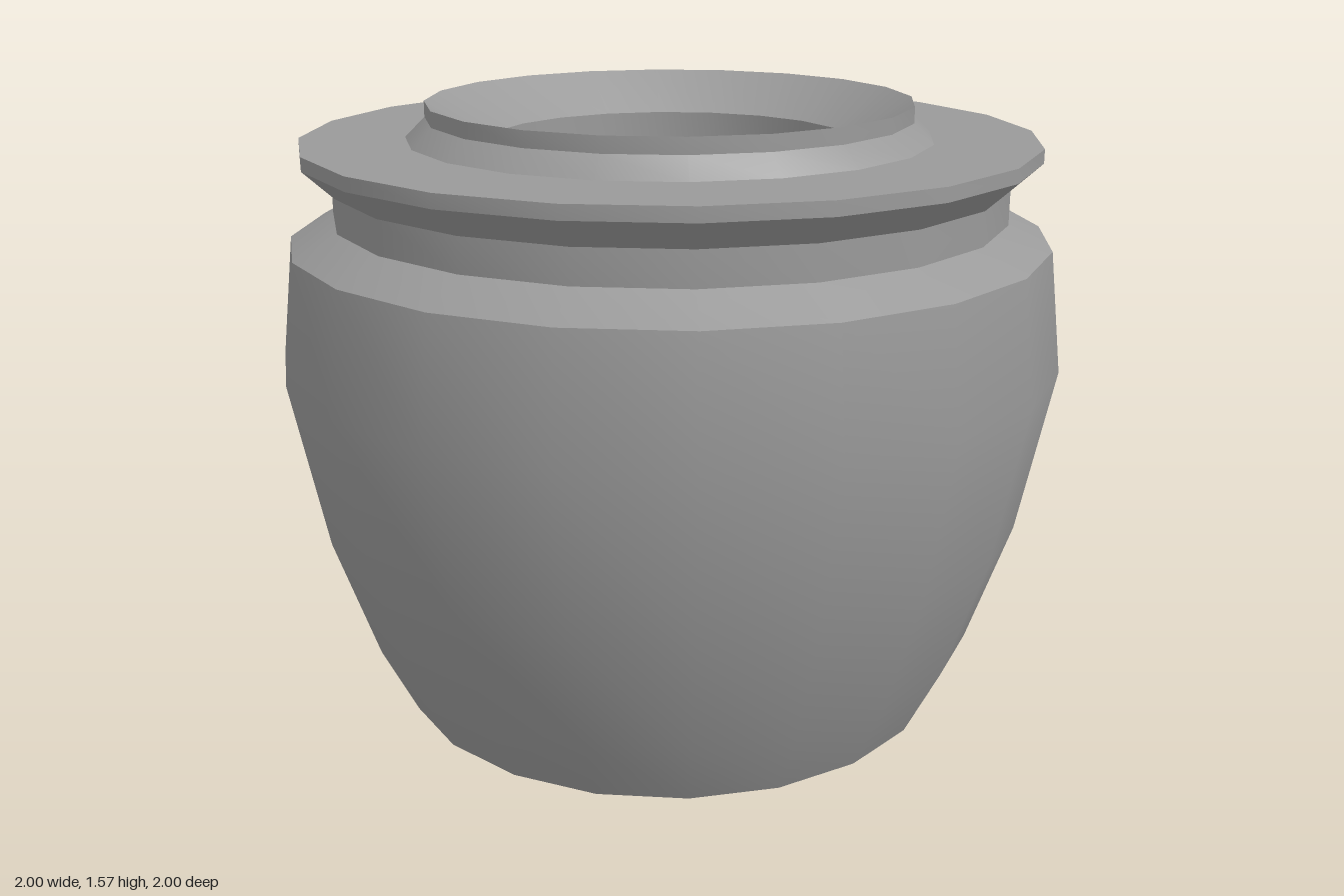
import * as THREE from 'three';
import { toCreasedNormals } from 'three/addons/utils/BufferGeometryUtils.js';

const SIDES = 20;

export function createModel() {
  const group = new THREE.Group();
  group.name = 'pot';
  const material = new THREE.MeshStandardMaterial({ color: 0x9a9a9a });

  // Turns a [radius, height] profile; bands stay smooth around, sharp between.
  function turned(name, profile) {
    const points = profile.map(([r, y]) => new THREE.Vector2(r, y));
    const geometry = toCreasedNormals(new THREE.LatheGeometry(points, SIDES), 0.55);
    const mesh = new THREE.Mesh(geometry, material);
    mesh.name = name;
    group.add(mesh);
  }

  // Closed base, bulging wall and sloped shoulder
  turned('body', [
    [0, 0], [0.715, 0], [0.805, 0.18], [0.915, 0.5], [1, 0.925], [0.965, 1.23], [0.855, 1.29],
  ]);

  // Recessed neck under the wide overhanging flange
  turned('neckAndFlange', [
    [0.855, 1.29], [0.855, 1.375], [0.93, 1.445], [0.93, 1.48], [0.665, 1.48],
  ]);

  // Raised lip around the opening
  turned('lip', [
    [0.665, 1.48], [0.615, 1.53], [0.615, 1.57], [0.465, 1.47],
  ]);

  // Straight inner wall and floor
  turned('well', [
    [0.465, 1.47], [0.465, 1.13], [0, 1.13],
  ]);

  return group;
}
